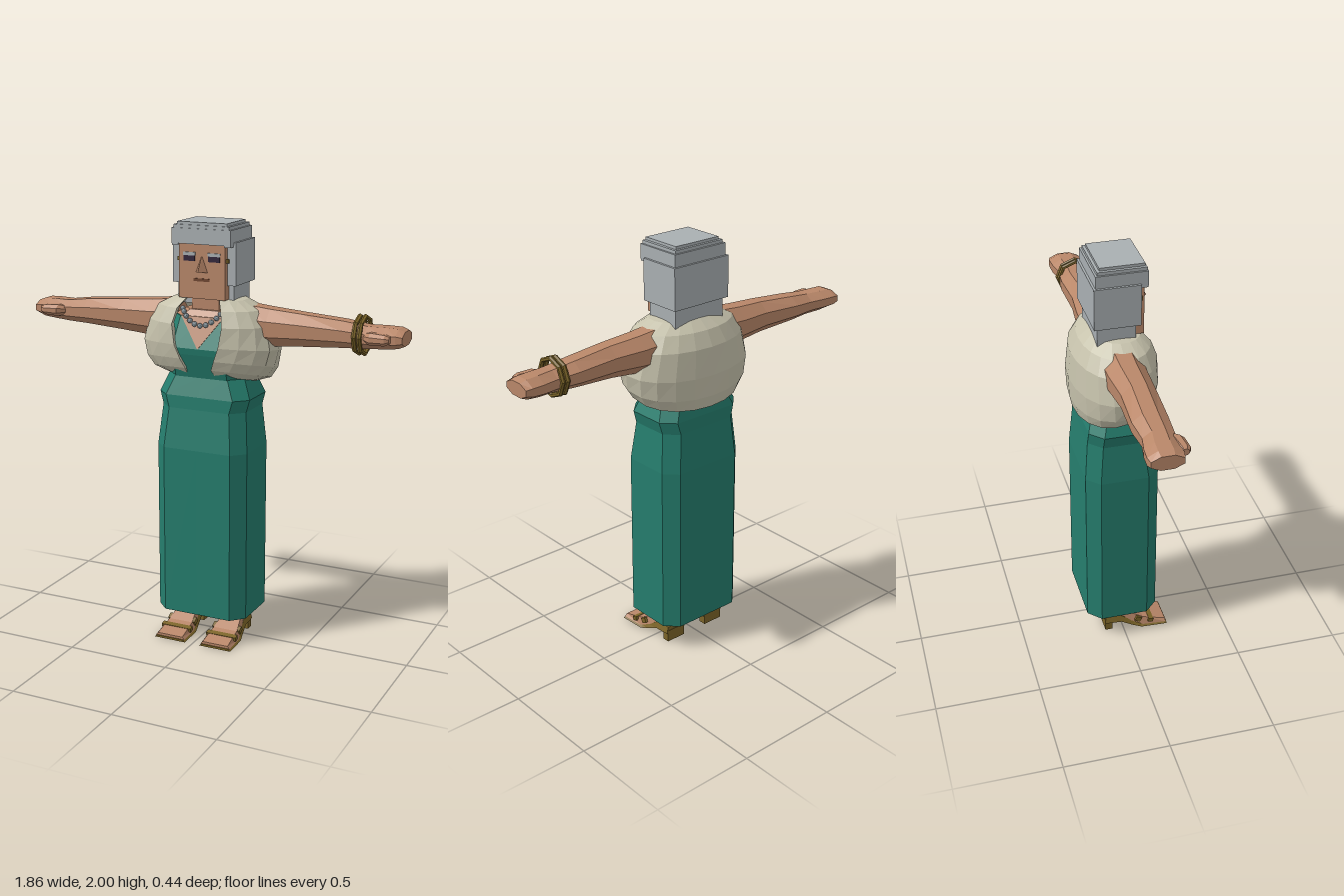
import * as THREE from 'three';

const mat = (name, color, side = THREE.FrontSide) =>
  new THREE.MeshStandardMaterial({ name, color, side, flatShading: true });

// Skin stretched over cross-sections; rings run anticlockwise seen from the end.
function loft(rings, { closed = true, caps = true } = {}) {
  const pos = [], n = rings[0].length;
  const tri = (a, b, c) => pos.push(...a, ...b, ...c);
  for (let r = 0; r < rings.length - 1; r++) {
    for (let i = 0; i < (closed ? n : n - 1); i++) {
      const j = (i + 1) % n, lo = rings[r], hi = rings[r + 1];
      tri(lo[i], lo[j], hi[j]);
      tri(lo[i], hi[j], hi[i]);
    }
  }
  if (caps) {
    const first = rings[0], last = rings[rings.length - 1];
    for (let i = 1; i < n - 1; i++) {
      tri(first[0], first[i + 1], first[i]);
      tri(last[0], last[i], last[i + 1]);
    }
  }
  const g = new THREE.BufferGeometry();
  g.setAttribute('position', new THREE.Float32BufferAttribute(pos, 3));
  g.computeVertexNormals();
  return g;
}

const mirror = (rings, side) => side > 0 ? rings
  : rings.map(ring => ring.map(([x, y, z]) => [-x, y, z]).reverse());

// Rectangle with cut corners, plus a centre point at front and back.
const bodyRing = (y, w, front, back, cut = 0.06) => [
  [0, y, front], [w - cut, y, front], [w, y, front - cut], [w, y, back + cut],
  [w - cut, y, back], [0, y, back], [cut - w, y, back], [-w, y, back + cut],
  [-w, y, front - cut], [cut - w, y, front]];

export function createModel() {
  const root = new THREE.Group();
  root.name = 'woman';
  const skin = mat('skin', 0xb98769);
  const hair = mat('grey hair', 0xa9afb2);
  const green = mat('green dress', 0x257d6d, THREE.DoubleSide);
  const cream = mat('cream shrug', 0xc6c2ac, THREE.DoubleSide);
  const gold = mat('bronze', 0x7b6428);
  const dark = mat('dark eye', 0x30243a);
  const lip = mat('lips', 0x70452f);
  const pearl = mat('pearl', 0x8e9ea6);

  const add = (name, geo, material, parent = root) => {
    const m = new THREE.Mesh(geo, material);
    m.name = name;
    parent.add(m);
    return m;
  };
  // Box given by its limits
  const box = (name, material, x0, x1, y0, y1, z0, z1, parent) => {
    const m = add(name, new THREE.BoxGeometry(x1 - x0, y1 - y0, z1 - z0), material, parent);
    m.position.set((x0 + x1) / 2, (y0 + y1) / 2, (z0 + z1) / 2);
    return m;
  };

  // Long dress, open at the hem, and bodice
  add('skirt', loft([
    bodyRing(0.13, 0.23, 0.165, -0.183), bodyRing(0.95, 0.23, 0.165, -0.183),
    bodyRing(1.14, 0.213, 0.14, -0.168), bodyRing(1.2, 0.23, 0.138, -0.165),
    bodyRing(1.295, 0.19, 0.11, -0.14)], { caps: false }), green);
  add('bodice', loft([
    bodyRing(1.28, 0.19, 0.11, -0.14), bodyRing(1.4, 0.19, 0.145, -0.13),
    bodyRing(1.43, 0.19, 0.15, -0.13), bodyRing(1.57, 0.17, 0.1, -0.11)]), green);

  // Bare chest in the V neckline, shoulders and neck
  add('chest', loft([
    [[0, 1.43, 0.154], [0, 1.43, 0.154], [0, 1.43, 0.145], [0, 1.43, 0.145]],
    [[-0.105, 1.572, 0.104], [0.105, 1.572, 0.104], [0.105, 1.572, 0.09], [-0.105, 1.572, 0.09]],
  ]), skin);
  add('shoulders', loft([
    bodyRing(1.565, 0.17, 0.102, -0.11), bodyRing(1.6, 0.11, 0.08, -0.08, 0.04)]), skin);
  box('neck', skin, -0.068, 0.068, 1.57, 1.7, -0.05, 0.065);

  // String of beads
  const necklace = new THREE.Group();
  necklace.name = 'necklace';
  root.add(necklace);
  for (let i = -5; i <= 5; i++) {
    const x = 0.105 * Math.sin(i * 0.27), y = 1.535 + 0.065 * (x / 0.1) ** 2;
    const z = y < 1.57 ? 0.162 - (y - 1.43) * 0.36 : 0.112 - (y - 1.57) * 0.6;
    add('bead', new THREE.IcosahedronGeometry(0.0125, 1), pearl, necklace).position.set(x, y, z);
  }

  // Puffed shrug: height, half width, front, back, half gap, tilt
  const shrug = [
    [1.30, 0.15, 0.10, -0.12, 0.08, 0.15], [1.275, 0.21, 0.12, -0.165, 0.07, 0.25],
    [1.30, 0.285, 0.15, -0.20, 0.065, 0.25], [1.35, 0.32, 0.168, -0.213, 0.085, 0.2],
    [1.43, 0.335, 0.178, -0.217, 0.11, 0.1], [1.54, 0.305, 0.176, -0.205, 0.125, 0],
    [1.61, 0.255, 0.15, -0.17, 0.11, 0], [1.65, 0.175, 0.11, -0.12, 0.085, 0],
    [1.66, 0.11, 0.06, -0.085, 0.075, 0]];
  add('shrug', loft(shrug.map(([y, w, f, b, gap, tilt]) => {
    const a0 = Math.asin(gap / w), ring = [], N = 18;
    for (let i = 0; i <= N; i++) {
      const a = a0 + (2 * Math.PI - 2 * a0) * i / N, c = Math.cos(a);
      const z = Math.sign(c) * Math.abs(c) ** 0.85 * (c > 0 ? f : -b);
      ring.push([w * Math.sin(a), y + tilt * z, z]);
    }
    // turned-in front edges
    const turned = ([x, yy, z]) => [x * 1.1, yy, z - 0.05];
    return [turned(ring[0]), ...ring, turned(ring[N])];
  }), { closed: false, caps: false }), cream);

  // Arms: x, bottom, top, back, front
  const armSections = [
    [0.18, 1.44, 1.63, -0.11, 0.075], [0.3, 1.447, 1.618, -0.104, 0.07],
    [0.45, 1.46, 1.608, -0.09, 0.066], [0.65, 1.472, 1.592, -0.098, 0.06],
    [0.76, 1.477, 1.578, -0.085, 0.055], [0.84, 1.482, 1.578, -0.1, 0.052],
    [0.9, 1.488, 1.576, -0.104, 0.052], [0.93, 1.5, 1.565, -0.096, 0.046]];
  const thumbSections = [
    [0.75, 1.515, 1.55, 0.01, 0.05], [0.79, 1.505, 1.56, 0.02, 0.085],
    [0.86, 1.51, 1.557, 0.035, 0.09], [0.88, 1.52, 1.55, 0.045, 0.08]];
  const limb = sections => sections.map(([x, y0, y1, z0, z1]) =>
    Array.from({ length: 8 }, (_, i) => {
      const a = (i + 0.5) * Math.PI / 4, k = 1 / Math.cos(Math.PI / 8);
      return [x, (y0 + y1) / 2 + k * Math.cos(a) * (y1 - y0) / 2,
        (z0 + z1) / 2 + k * Math.sin(a) * (z1 - z0) / 2];
    }));

  // Foot and sandal sections: z, half width, top, bottom
  const slab = sections => sections.map(([z, w, t, b]) => [
    [0.12 + w * 0.85, t, z], [0.12 - w * 0.85, t, z], [0.12 - w, b, z], [0.12 + w, b, z]]);
  const footSections = [
    [-0.07, 0.035, 0.1, 0.075], [0, 0.05, 0.12, 0.07], [0.04, 0.06, 0.085, 0.04],
    [0.1, 0.072, 0.052, 0.012], [0.215, 0.077, 0.022, 0.009]];
  const soleSections = [
    [-0.09, 0.058, 0.08, 0.045], [-0.01, 0.06, 0.075, 0.042], [0.05, 0.07, 0.036, 0.015],
    [0.09, 0.078, 0.014, 0.002], [0.22, 0.082, 0.01, 0]];

  for (const s of [1, -1]) {
    const label = s > 0 ? 'left' : 'right';
    add(label + 'Arm', loft(mirror(limb(armSections), s)), skin);
    add(label + 'Thumb', loft(mirror(limb(thumbSections), s)), skin);

    const leg = add(label + 'Ankle', new THREE.CylinderGeometry(0.055, 0.038, 0.3, 8), skin);
    leg.position.set(s * 0.12, 0.23, -0.012);
    add(label + 'Foot', loft(mirror(slab(footSections), s)), skin);
    add(label + 'Sole', loft(mirror(slab(soleSections), s)), gold);
    const cx = s * 0.12;
    box(label + 'Heel', gold, cx - 0.052, cx + 0.052, 0, 0.06, -0.092, -0.055);
    box(label + 'ToeStrap', gold, cx - 0.078, cx + 0.078, 0.024, 0.044, 0.125, 0.15).rotation.x = 0.25;
    box(label + 'InstepStrap', gold, cx - 0.072, cx + 0.072, 0.036, 0.062, 0.06, 0.09).rotation.x = 0.5;

    // Eyes, lids and ear studs
    const ex = s * 0.062;
    box(label + 'Eye', dark, ex - 0.028, ex + 0.028, 1.825, 1.85, 0.1, 0.108);
    box(label + 'Brow', hair, ex - 0.03, ex + 0.03, 1.85, 1.865, 0.1, 0.109);
    box(label + 'Earring', gold, s * 0.118 - 0.008, s * 0.118 + 0.008, 1.822, 1.84, 0.078, 0.094);
    // Hair beside the face
    box(label + 'SideHair', hair, s * 0.137 - 0.021, s * 0.137 + 0.021, 1.72, 1.915, -0.13, 0.08);
    box(label + 'Temple', hair, s * 0.13 - 0.016, s * 0.13 + 0.016, 1.895, 1.93, 0.06, 0.112);
  }

  // Two bangles on the left wrist
  for (const x of [0.717, 0.742]) {
    const bangle = add('bangle', new THREE.TorusGeometry(0.084, 0.011, 6, 8), gold);
    bangle.rotation.set(0, Math.PI / 2, 0);
    bangle.position.set(x, 1.533, -0.012);
  }

  // Head, mouth and nose
  box('head', skin, -0.115, 0.115, 1.655, 1.94, -0.09, 0.104);
  box('mouth', lip, -0.04, 0.04, 1.735, 1.748, 0.1, 0.108);
  add('nose', loft([
    [[-0.032, 1.775, 0.1], [0, 1.782, 0.145], [0.032, 1.775, 0.1]],
    [[-0.006, 1.845, 0.1], [0, 1.845, 0.107], [0.006, 1.845, 0.1]]]), skin);

  // Blocky hair with a stepped crown
  box('backHair', hair, -0.158, 0.158, 1.72, 1.915, -0.132, -0.06);
  box('napeHair', hair, -0.14, 0.14, 1.625, 1.73, -0.115, 0.06);
  box('fringe', hair, -0.147, 0.147, 1.902, 1.972, -0.122, 0.114);
  box('crown', hair, -0.138, 0.138, 1.965, 1.987, -0.113, 0.11);
  box('crownTop', hair, -0.124, 0.124, 1.98, 2, -0.1, 0.104);

  return root;
}
